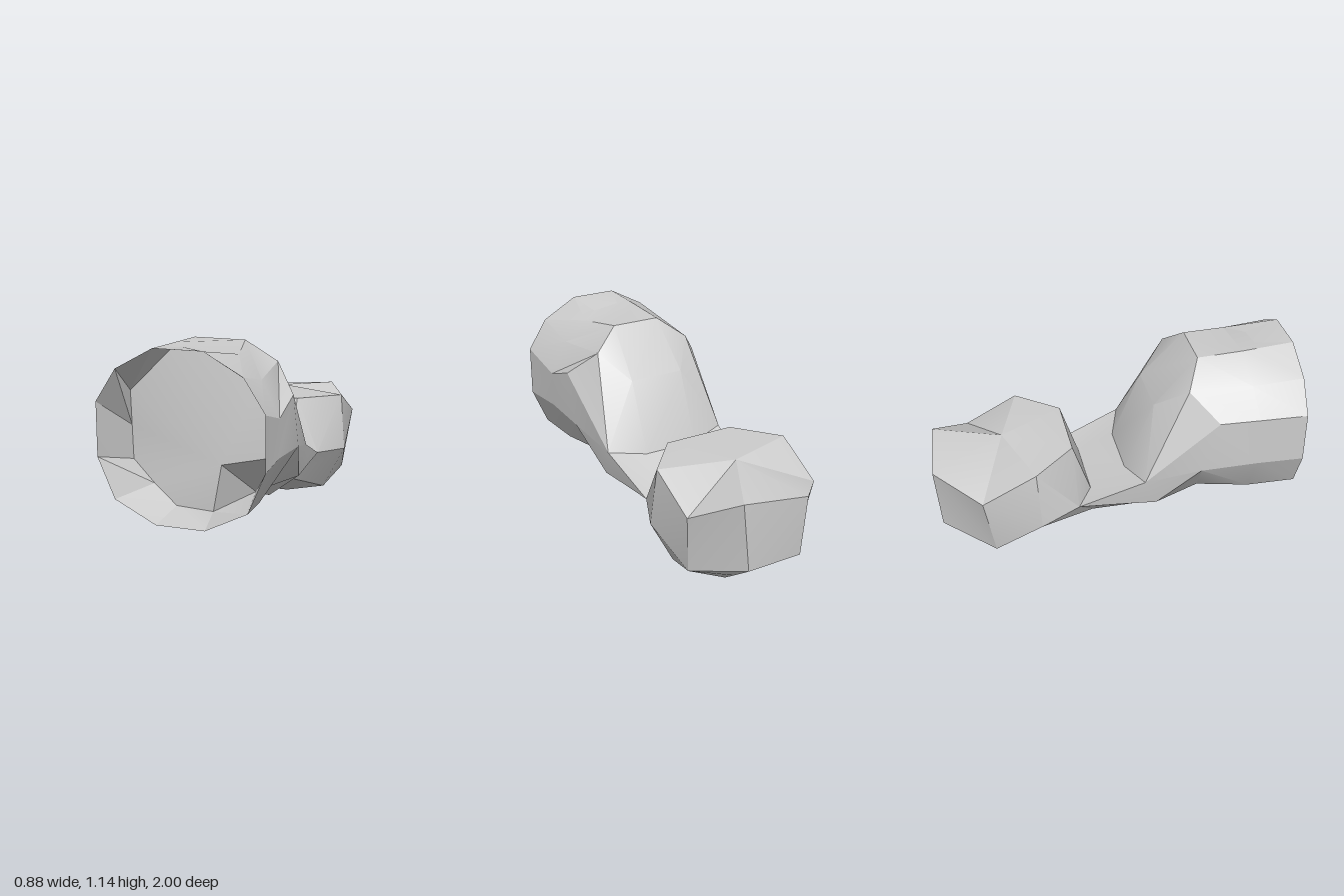
import * as THREE from 'three';
import { toCreasedNormals } from 'three/addons/utils/BufferGeometryUtils.js';

// Mirror a half section (+x side) into a closed ring
const ring = (half) => [...half, ...[...half].reverse().map(([x, y, z]) => [-x, y, z])];
// A section that closes to a single point
const tip = (p, n) => Array.from({ length: n }, () => p);

// Skin consecutive rings with triangles, skipping collapsed ones.
// The diagonals mirror at x = 0; flip swaps their direction.
function loft(rings, flip) {
  const out = [];
  const same = (p, q) => p.every((v, i) => v === q[i]);
  const tri = (a, b, c) => {
    if (!same(a, b) && !same(b, c) && !same(a, c)) out.push(...a, ...b, ...c);
  };
  for (let i = 0; i < rings.length - 1; i++) {
    const n = rings[i].length;
    for (let j = 0; j < n; j++) {
      const k = (j + 1) % n;
      const a = rings[i][j], b = rings[i][k], c = rings[i + 1][j], d = rings[i + 1][k];
      if ((j < n / 2) !== flip) {
        tri(a, b, c);
        tri(b, d, c);
      } else {
        tri(a, b, d);
        tri(a, d, c);
      }
    }
  }
  const g = new THREE.BufferGeometry();
  g.setAttribute('position', new THREE.Float32BufferAttribute(out, 3));
  g.computeVertexNormals();
  return toCreasedNormals(g, 0.4);
}

export function createModel() {
  const grey = new THREE.MeshStandardMaterial({ color: 0xcccccc, side: THREE.DoubleSide });
  grey.name = 'lightGrey';
  const model = new THREE.Group();
  model.name = 'lowPolyForm';
  const add = (name, rings, flip) => {
    const mesh = new THREE.Mesh(loft(rings, flip), grey);
    mesh.name = name;
    model.add(mesh);
  };

  // Uneven floor of the shallow front recess, with one deeper dent
  const floor = [
    [0.2, 1.075, 0.73], [0.31, 0.93, 0.74], [0.415, 0.78, 0.74], [0.41, 0.59, 0.74],
    [0.22, 0.33, 0.52], [0.09, 0.29, 0.79], [-0.11, 0.3, 0.79], [-0.24, 0.4, 0.77],
    [-0.37, 0.51, 0.74], [-0.375, 0.69, 0.74], [-0.38, 0.87, 0.74], [-0.13, 1.115, 0.74],
  ];
  // Outer skin around the recess, pinched on the +x side
  const pinch = [
    [0.2, 1.085, 0.71], [0.325, 0.97, 0.73], [0.42, 0.785, 0.735], [0.42, 0.585, 0.735],
    [0.32, 0.35, 0.74], [0.12, 0.28, 0.75], [-0.12, 0.28, 0.75], [-0.32, 0.35, 0.74],
    [-0.43, 0.58, 0.74], [-0.43, 0.86, 0.74], [-0.32, 1.01, 0.72], [-0.14, 1.125, 0.71],
  ];
  // Body sections from the rim back to the neck; shared corners repeat
  const neckSide = [0.37, 0.5, 0.13], flank = [0.35, 0.34, 0.2];
  const neckLow = [0.34, 0.35, 0], corner = [0.33, 0.36, -0.23];
  const neckEnd = [0.19, 0.375, -0.14], keel = [0.19, 0.22, -0.13];
  const rim = [[0.13, 1.14, 1], [0.33, 1.03, 1], [0.44, 0.86, 1], [0.44, 0.58, 1], [0.35, 0.37, 1], [0.13, 0.26, 1]];
  const shoulder = [[0.14, 1.115, 0.46], [0.29, 1.0, 0.38], [0.42, 0.86, 0.52], [0.42, 0.57, 0.43], [0.22, 0.325, 0.47], [0.1, 0.315, 0.47]];
  const slope = [[0.16, 0.86, 0.22], neckSide, neckSide, flank, flank, [0.19, 0.22, 0.22]];
  const dip = [[0.16, 0.47, 0.06], neckSide, neckSide, neckLow, neckLow, [0.19, 0.22, 0.05]];
  const waist = [neckEnd, corner, corner, corner, corner, keel];
  add('hollowFrontBody', [
    tip([0.14, 0.54, 0.8], 12), floor, ring(rim), pinch, ...[shoulder, slope, dip, waist].map(ring),
  ], false);

  // Rear block: rings from its base up to the flat top
  const baseFront = [0.08, 0.05, -0.43], baseBack = [0.08, 0, -0.64];
  const topFront = [0.2, 0.67, -0.24], lowSide = [0.35, 0.16, -0.7];
  const base = [baseFront, baseFront, [0.08, 0.026, -0.53], baseBack, baseBack];
  const lower = [keel, keel, [0.3, 0.09, -0.46], lowSide, [0.18, 0.17, -0.87]];
  const middle = [neckEnd, corner, [0.43, 0.34, -0.45], lowSide, [0.16, 0.24, -0.97]];
  const top = [topFront, topFront, [0.4, 0.66, -0.47], [0.395, 0.51, -0.76], [0.2, 0.63, -0.97]];
  const lowerRing = ring(lower), topRing = ring(top);
  lowerRing[7] = [-0.15, 0.17, -0.6]; // dent under the -x side
  topRing[5] = [-0.17, 0.59, -1]; // one back corner sits further out
  add('rearBlock', [
    tip([0, 0.026, -0.53], 10), ring(base), lowerRing, ring(middle), topRing, tip([0, 0.67, -0.6], 10),
  ], true);

  return model;
}
